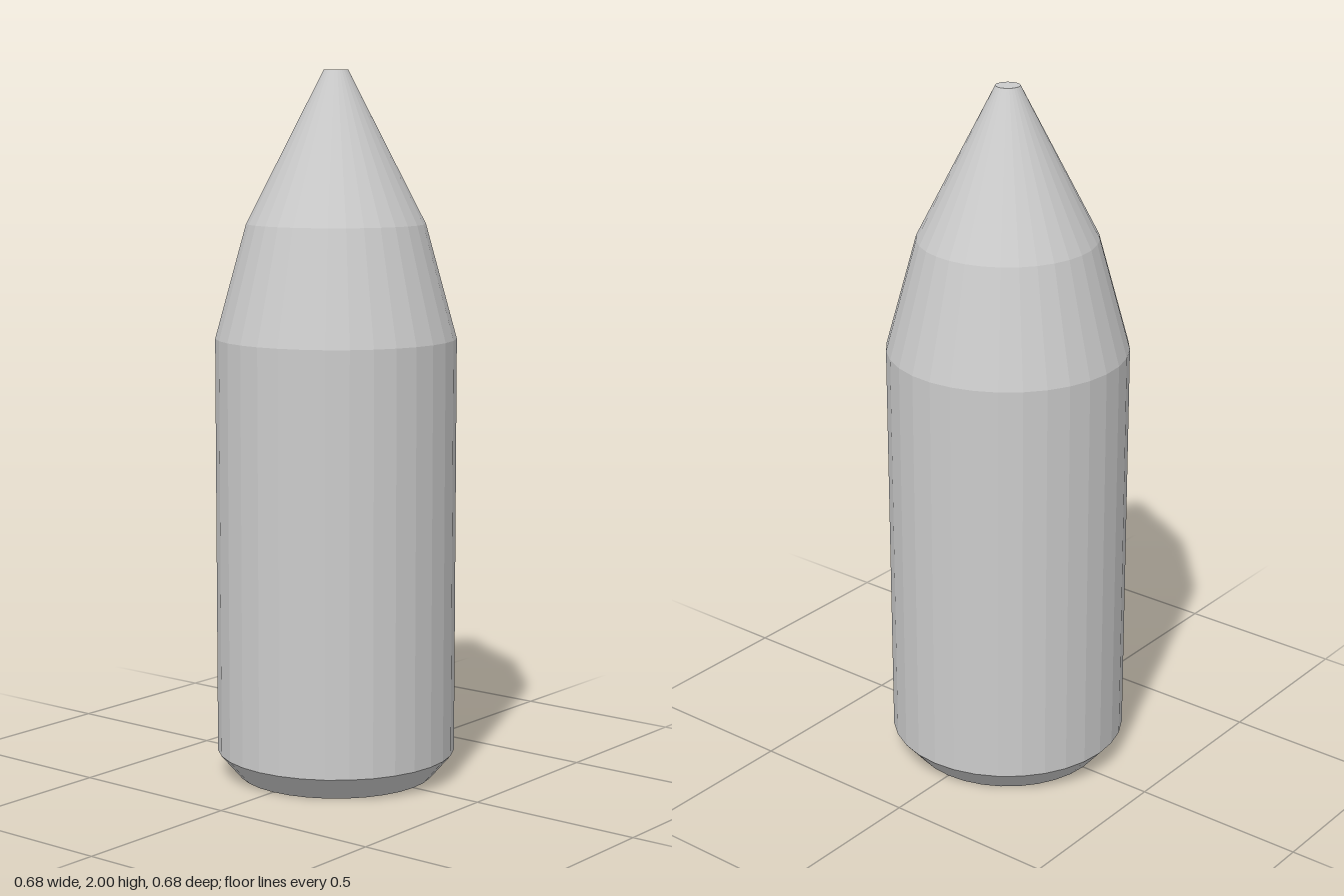
import * as THREE from 'three';

export function createModel() {
  const group = new THREE.Group();
  const material = new THREE.MeshStandardMaterial({ color: 0xcccccc, flatShading: true });

  // Stacked frustums: name, bottom radius, top radius, bottom y, top y
  const sections = [
    ['baseChamfer', 0.28, 0.34, 0, 0.07],
    ['body', 0.34, 0.34, 0.07, 1.255],
    ['shoulder', 0.34, 0.252, 1.255, 1.575],
    ['nose', 0.252, 0.034, 1.575, 2],
  ];
  for (const [name, r0, r1, y0, y1] of sections) {
    const geometry = new THREE.CylinderGeometry(r1, r0, y1 - y0, 32, 1, true);
    const mesh = new THREE.Mesh(geometry, material);
    mesh.name = name;
    mesh.position.y = (y0 + y1) / 2;
    group.add(mesh);
  }

  // Flat discs closing the base and the tip
  const addCap = (name, radius, y, tilt) => {
    const cap = new THREE.Mesh(new THREE.CircleGeometry(radius, 32), material);
    cap.name = name;
    cap.position.y = y;
    cap.rotation.x = tilt;
    group.add(cap);
  };
  addCap('baseCap', 0.28, 0, Math.PI / 2);
  addCap('tipCap', 0.034, 2, -Math.PI / 2);

  return group;
}
